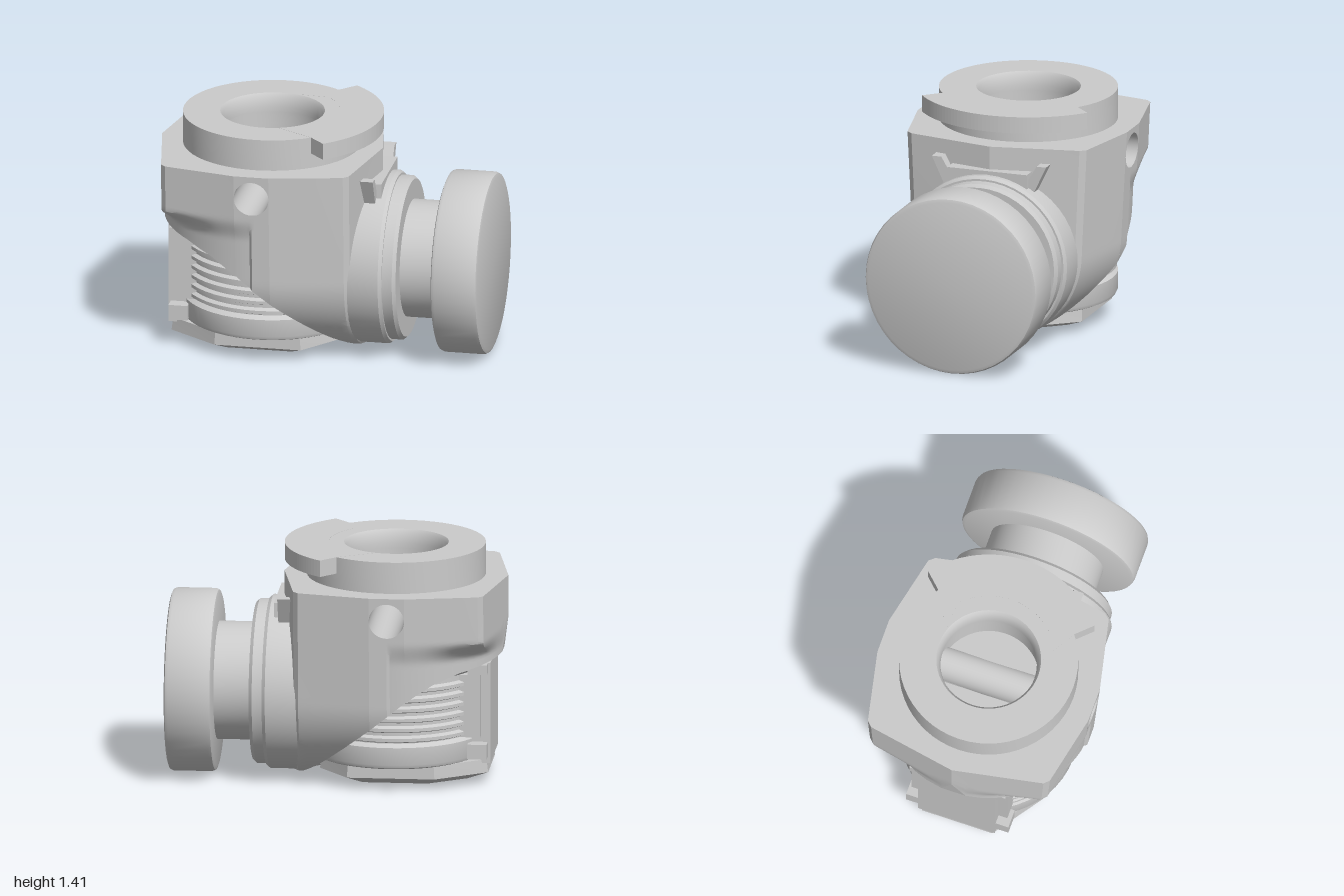
import * as THREE from 'three';
import { toCreasedNormals } from 'three/addons/utils/BufferGeometryUtils.js';

const CX = -0.335;            // vertical axis of flange, bore and lower core
const HOLE_Y = 1.08, HOLE_R = 0.105, BORE_R = 0.3, TOP = 1.22;
const material = new THREE.MeshStandardMaterial({ color: 0xcccccc, side: THREE.DoubleSide });

// Piecewise linear lookup in [x, value] pairs
function lookup(table, x) {
  for (let i = 1; i < table.length; i++) {
    const [x0, v0] = table[i - 1], [x1, v1] = table[i];
    if (x <= x1) return v0 + (v1 - v0) * (x - x0) / (x1 - x0);
  }
  return table[table.length - 1][1];
}

// Sheet from a rule f(i, j) => [x, y, z]
function grid(nu, nv, f, flip = false) {
  const pos = [], idx = [];
  for (let i = 0; i <= nu; i++) for (let j = 0; j <= nv; j++) pos.push(...f(i, j));
  for (let i = 0; i < nu; i++) for (let j = 0; j < nv; j++) {
    const a = i * (nv + 1) + j, b = a + nv + 1;
    if (flip) idx.push(a, a + 1, b, b, a + 1, b + 1);
    else idx.push(a, b, a + 1, b, b + 1, a + 1);
  }
  const g = new THREE.BufferGeometry();
  g.setAttribute('position', new THREE.Float32BufferAttribute(pos, 3));
  g.setIndex(idx);
  return toCreasedNormals(g, 0.5);
}

function lathe(points, segments = 48) {
  return new THREE.LatheGeometry(points.map(p => new THREE.Vector2(p[0], p[1])), segments);
}

// Half width of the housing seen from above, and its slanted lower edge
const OUTLINE = [[-1, 0], [-0.9, 0.54], [-0.87, 0.57], [CX - HOLE_R, 0.66], [CX + HOLE_R, 0.66],
  [0.2, 0.565], [0.23, 0.53], [0.33, 0]];
const EDGE = [[-1, 0.97], [-0.97, 0.77], [-0.9, 0.755], [-0.75, 0.73], [-0.6, 0.675], [-0.45, 0.58],
  [-0.3, 0.46], [-0.1, 0.29], [0.1, 0.12], [0.21, 0.04], [0.33, 0.03]];
const lowerEdge = x => lookup(EDGE, x);

function halfWidth(x, y) {
  let w = lookup(OUTLINE, x);
  if (x < CX) {               // blends into a round skirt below the corners
    const round = Math.sqrt(Math.max(0, 0.64 ** 2 - (x - CX) ** 2));
    w += (Math.min(w, round) - w) * THREE.MathUtils.smoothstep(0.94 - y, 0, 0.14);
  }
  w *= 1 - 0.085 * (TOP - y);
  if (y < 0.54) w *= Math.sqrt(Math.max(0, 1 - ((0.54 - y) / 0.53) ** 2));
  return w;
}

function range(a, b, n) {
  return Array.from({ length: n + 1 }, (_, i) => a + (b - a) * i / n);
}

export function createModel() {
  const model = new THREE.Group();
  const add = (name, geometry, parent = model) => {
    const mesh = new THREE.Mesh(geometry, material);
    mesh.name = name;
    parent.add(mesh);
    return mesh;
  };

  // Housing: side walls split around the cross hole
  const housing = new THREE.Group();
  housing.name = 'housing';
  model.add(housing);
  const left = [-1, -0.985, -0.97, -0.95, -0.925, -0.9, -0.87, ...range(-0.83, CX - HOLE_R, 10)];
  const mid = range(Math.PI, 0, 20).map(a => CX + HOLE_R * Math.cos(a));
  const right = [...range(CX + HOLE_R, 0.2, 12), 0.215, 0.23, 0.28, 0.33];
  const arch = x => Math.sqrt(Math.max(0, HOLE_R ** 2 - (x - CX) ** 2));
  const top = () => TOP;
  for (const s of [1, -1]) {
    const wall = (xs, hi, lo, rows) => add('housingWall', grid(xs.length - 1, rows, (i, j) => {
      const x = xs[i], y = hi(x) + (lo(x) - hi(x)) * j / rows;
      return [x, y, s * halfWidth(x, y)];
    }, s > 0), housing);
    wall(left, top, lowerEdge, 26);
    wall(mid, top, x => HOLE_Y + arch(x), 3);
    wall(mid, x => HOLE_Y - arch(x), lowerEdge, 22);
    wall(right, top, lowerEdge, 30);

    // Cross hole, open to the bore in its upper half
    add('crossHole', grid(40, 1, (i, j) => {
      const a = i / 40 * Math.PI * 2, dx = HOLE_R * Math.cos(a);
      const x = CX + dx, y = HOLE_Y + HOLE_R * Math.sin(a);
      const inner = i > 0 && i < 20 ? Math.sqrt(BORE_R ** 2 - dx * dx) : 0;
      return [x, y, s * (j ? halfWidth(x, y) : inner)];
    }, s > 0), housing);
  }
  const all = [...left, ...mid, ...right];
  add('housingUnderside', grid(all.length - 1, 1, (i, j) => {
    const x = all[i], y = lowerEdge(x);
    return [x, y, (j ? 1 : -1) * halfWidth(x, y)];
  }), housing);

  // Housing top face with the bore cut out
  const deck = new THREE.Shape([...OUTLINE, ...OUTLINE.slice(1, -1).reverse().map(([x, w]) => [x, -w])]
    .map(p => new THREE.Vector2(p[0], p[1])));
  deck.holes.push(new THREE.Path().absarc(CX, 0, BORE_R, 0, Math.PI * 2, true));
  add('housingTop', new THREE.ShapeGeometry(deck, 48).rotateX(-Math.PI / 2).translate(0, TOP, 0), housing);

  // Bore wall and floor on both sides of the cross hole
  add('boreWall', grid(96, 1, (i, j) => {
    const a = i / 96 * Math.PI * 2, x = CX + BORE_R * Math.cos(a);
    return [x, j ? HOLE_Y + arch(x) : TOP, BORE_R * Math.sin(a)];
  }, true), housing);
  const t = Math.acos(HOLE_R / BORE_R);
  for (const mid of [0, Math.PI]) {
    const floor = new THREE.Shape().absarc(CX, 0, BORE_R, mid - t, mid + t, false);
    add('boreFloor', new THREE.ShapeGeometry(floor, 24).rotateX(-Math.PI / 2).translate(0, HOLE_Y, 0), housing);
  }

  // Flange ring and its wider locking tab
  add('flange', toCreasedNormals(lathe([[0.53, TOP], [0.53, 1.41], [0.31, 1.41], [0.295, 1.39],
    [0.285, 1.33], [0.285, 1.3], [BORE_R, 1.3], [BORE_R, TOP]], 56), 0.5)).position.x = CX;
  const tab = new THREE.Shape();
  const end = Math.atan2(0.52, 0.406);
  tab.moveTo(0.1, -0.3).lineTo(0.315, -0.425).absarc(0, 0, 0.66, -end, end, false);
  tab.lineTo(0.315, 0.425).lineTo(0.1, 0.3).absarc(0, 0, 0.4, 0.8, -0.8, true);
  add('flangeTab', new THREE.ExtrudeGeometry(tab, { depth: 0.1, bevelEnabled: false, curveSegments: 24 })
    .rotateX(-Math.PI / 2)).position.set(CX, 1.311, 0);

  // Collar, neck and knob turned around the x axis
  const turned = (name, profile) => {
    add(name, toCreasedNormals(lathe(profile.map(([x, r]) => [r, x])).rotateZ(-Math.PI / 2), 0.5))
      .position.y = 0.543;
  };
  turned('collar', [[0.1, 0], [0.1, 0.49], [0.22, 0.515], [0.4, 0.515], [0.42, 0.5], [0.42, 0.488],
    [0.48, 0.488], [0.5, 0.47], [0.5, 0]]);
  turned('neck', [[0.48, 0.35], [0.74, 0.35]]);
  turned('knob', [[0.72, 0], [0.72, 0.515], [0.727, 0.534], [0.745, 0.542], [0.975, 0.542],
    [0.993, 0.534], [1, 0.515], [1, 0]]);

  // Slanted buttresses between housing and collar
  for (const s of [1, -1]) {
    const shape = new THREE.Shape([[0.36, 1.13], [0.3, 1.13], [0.2, 0.96], [0.28, 0.96]]
      .map(([z, y]) => new THREE.Vector2(-s * z, y)));
    add('buttress', new THREE.ExtrudeGeometry(shape, { depth: 0.15, bevelEnabled: false })
      .rotateY(Math.PI / 2).translate(0.19, 0, 0));
  }
  add('buttressWeb', new THREE.BoxGeometry(0.2, 0.12, 0.5)).position.set(0.27, 1.02, 0);

  // Ribbed lower core
  const core = [[0, 0.145], [0.5, 0.145], [0.522, 0.155], [0.53, 0.175], [0.53, 0.28], [0.5, 0.3]];
  for (let i = 0; i < 6; i++) {
    const y = 0.305 + i * 0.06;
    core.push([0.5, y], [0.525, y + 0.01], [0.525, y + 0.03], [0.5, y + 0.042]);
  }
  core.push([0.5, 0.68], [0.53, 0.7], [0.53, 0.74], [0, 0.74]);
  add('ribbedCore', toCreasedNormals(lathe(core), 0.5)).position.x = CX;

  // End plate with corner clips
  const box = (name, x0, x1, y0, y1, z, depth) =>
    add(name, new THREE.BoxGeometry(x1 - x0, y1 - y0, depth)).position.set((x0 + x1) / 2, (y0 + y1) / 2, z);
  box('endPlate', -0.915, -0.6, 0.13, 0.74, 0, 0.48);
  for (const s of [1, -1]) {
    box('plateEdge', -0.86, -0.7, 0.3, 0.68, s * 0.26, 0.08);
    box('lowerClip', -0.9, -0.785, 0.17, 0.26, s * 0.27, 0.1);
    box('upperClip', -0.9, -0.785, 0.68, 0.74, s * 0.26, 0.08);
  }

  // Chamfered base
  const base = [[0.1, -0.2], [0.1, 0.2], [-0.08, 0.43], [-0.6, 0.43], [-0.9, 0.22],
    [-0.9, -0.22], [-0.6, -0.43], [-0.08, -0.43]];
  const rows = [[0.15, 0, 0], [0.15, 0.98, 1], [0.07, 1, 1], [0.015, 0.74, 0.72], [0.015, 0, 0]];
  add('base', grid(8, 4, (i, j) => {
    const [x, z] = base[i % 8], [y, sx, sz] = rows[j];
    return [-0.4 + (x + 0.4) * sx, y, z * sz];
  }));

  return model;
}
